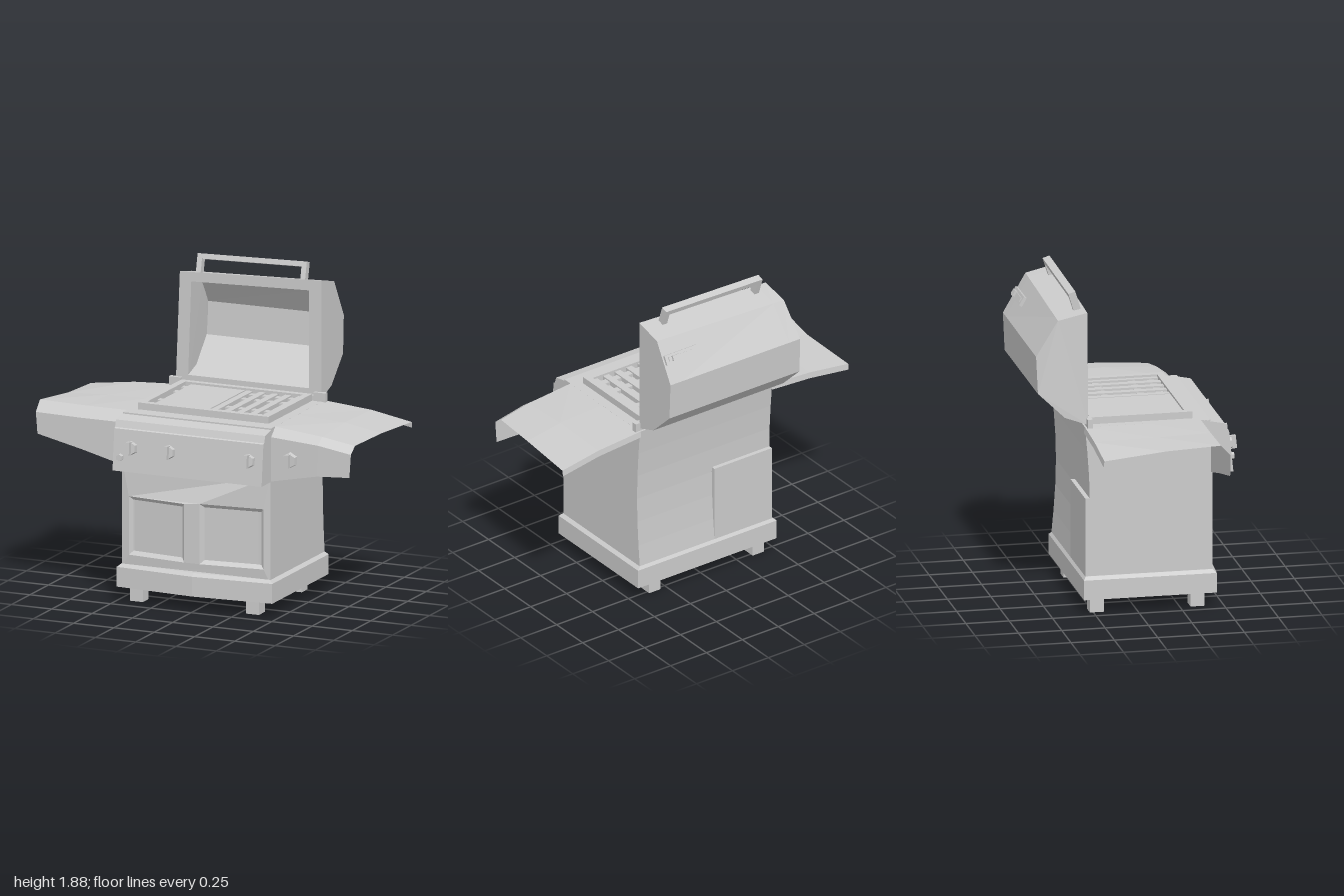
import * as THREE from 'three';

const mat = new THREE.MeshStandardMaterial({ color: 0xcccccc, flatShading: true });
const thinMat = new THREE.MeshStandardMaterial({ color: 0xcccccc, flatShading: true, side: THREE.DoubleSide });

export function createModel() {
  const model = new THREE.Group();

  const add = (name, geo, parent = model, material = mat) => {
    const mesh = new THREE.Mesh(geo, material);
    mesh.name = name;
    parent.add(mesh);
    return mesh;
  };
  const group = (name, parent = model) => {
    const g = new THREE.Group();
    g.name = name;
    parent.add(g);
    return g;
  };
  // Box given by its limits on each axis
  const box = (x0, x1, y0, y1, z0, z1, sy = 1) =>
    new THREE.BoxGeometry(x1 - x0, y1 - y0, z1 - z0, 1, sy, 1)
      .translate((x0 + x1) / 2, (y0 + y1) / 2, (z0 + z1) / 2);
  // Side profile of [z, y] points, extruded from x0 to x1
  const along = (pts, x0, x1) =>
    new THREE.ExtrudeGeometry(new THREE.Shape(pts.map(([z, y]) => new THREE.Vector2(-z, y))),
      { depth: x1 - x0, bevelEnabled: false }).rotateY(Math.PI / 2).translate(x0, 0, 0);
  // Move every vertex by a rule
  const warp = (geo, rule) => {
    const p = geo.attributes.position, v = new THREE.Vector3();
    for (let i = 0; i < p.count; i++) {
      v.fromBufferAttribute(p, i);
      rule(v);
      p.setXYZ(i, v.x, v.y, v.z);
    }
    geo.computeVertexNormals();
    return geo;
  };
  const meshFrom = (verts, index) => {
    const geo = new THREE.BufferGeometry();
    geo.setAttribute('position', new THREE.Float32BufferAttribute(verts.flat(), 3));
    geo.setIndex(index);
    geo.computeVertexNormals();
    return geo;
  };

  // Feet
  for (const x of [-0.39, 0.33])
    for (const z of [-0.23, 0.35]) add('foot', box(x - 0.04, x + 0.04, 0, 0.1, z - 0.04, z + 0.04));

  // Plinth with a bowed front and sloped top edge
  const plan = new THREE.Shape([[-0.485, -0.45], [0, -0.485], [0.48, -0.45], [0.48, 0.315], [-0.485, 0.315]]
    .map(([x, y]) => new THREE.Vector2(x, y)));
  const slab = (y, h) => new THREE.ExtrudeGeometry(plan, { depth: h, bevelEnabled: false })
    .rotateX(-Math.PI / 2).translate(0, y, 0);
  add('plinth', slab(0.09, 0.115));
  add('plinthEdge', warp(slab(0.205, 0.018), (v) => {
    if (v.y > 0.21) { v.x *= 0.955; v.z *= 0.96; }
  }));

  // Cabinet with a slightly hollow back, and its raised back panel
  add('cabinet', warp(box(-0.46, 0.46, 0.2, 1.1, -0.305, 0.42, 6), (v) => {
    if (v.z < 0) v.z += 0.028 * Math.sin(Math.PI * (v.y - 0.2) / 0.9);
  }));
  add('backPanel', box(-0.46, -0.06, 0.2, 0.68, -0.303, -0.2));

  // Bowed door front with two sunken, bevelled panels
  const bow = (v) => { v.z -= 0.045 * (v.x / 0.46) ** 2; };
  const front = new THREE.Shape([[-0.46, 0.2], [0, 0.2], [0.46, 0.2], [0.46, 0.82], [0, 0.82], [-0.46, 0.82]]
    .map(([x, y]) => new THREE.Vector2(x, y)));
  const doors = group('doors');
  for (const [x0, x1, y0, y1] of [[-0.415, -0.055, 0.28, 0.62], [0.04, 0.42, 0.28, 0.63]]) {
    front.holes.push(new THREE.Path([[x0, y0], [x0, y1], [x1, y1], [x1, y0]].map(([x, y]) => new THREE.Vector2(x, y))));
    const rect = (d, z) => [[x0 + d, y0 + d, z], [x1 - d, y0 + d, z], [x1 - d, y1 - d, z], [x0 + d, y1 - d, z]];
    const index = [4, 5, 6, 4, 6, 7];
    for (let i = 0; i < 4; i++) {
      const j = (i + 1) % 4;
      index.push(i, j, 4 + j, i, 4 + j, 4 + i);
    }
    add('doorPanel', warp(meshFrom([...rect(0, 0.475), ...rect(0.022, 0.452)], index), bow), doors, thinMat);
  }
  add('doorFrame', warp(new THREE.ExtrudeGeometry(front, { depth: 0.045, bevelEnabled: false })
    .translate(0, 0, 0.43), bow), doors);
  add('doorPull', box(-0.1, 0.11, 0.78, 0.795, 0.45, 0.5), doors);

  // Control panel
  add('controlPanel', along([[0.38, 0.79], [0.55, 0.79], [0.525, 1.03], [0.515, 1.035], [0.5, 1.075], [0.38, 1.1]], -0.465, 0.46));

  // Hexagonal knobs with a grip bar
  const knob = (x, y, z, r) => {
    const g = group('knob');
    add('knobBody', new THREE.CylinderGeometry(r, r * 1.1, 0.03, 6).rotateX(Math.PI / 2), g);
    if (r > 0.03) add('knobGrip', box(-0.01, 0.01, -0.038, 0.038, 0, 0.042), g);
    g.position.set(x, y, z);
    return g;
  };
  for (const x of [-0.355, -0.12, 0.375]) knob(x, 0.93, 0.547, 0.038).rotation.x = -0.1;
  knob(-0.42, 0.87, 0.547, 0.02);
  knob(0.58, 0.93, 0.432, 0.042);

  // Side shelves: cross-sections from the back lip over the top to the apron's lower edge
  const shelf = (name, stations) => {
    const verts = [], index = [], n = 6;
    // xs and ys: back, middle, front; chamfer and bottom: apron heights
    for (const { xs, ys, chamfer, bottom, z = 0.42 } of stations)
      verts.push([xs[0], ys[0] - 0.035, -0.31], [xs[0], ys[0], -0.305], [xs[1], ys[1], 0.06],
        [xs[2], ys[2], z - 0.055], [xs[2], chamfer, z], [xs[2] * 0.99, bottom, z]);
    for (let i = 0; i < stations.length - 1; i++)
      for (let j = 0; j < n - 1; j++) {
        const a = i * n + j, c = a + n;
        index.push(a, a + 1, c, a + 1, c + 1, c);
      }
    add(name, meshFrom(verts, index), model, thinMat);
  };
  shelf('leftShelf', [
    { xs: [0.455, 0.455, 0.455], ys: [1.1, 1.1, 1.1], chamfer: 1.05, bottom: 0.79 },
    { xs: [0.75, 0.75, 0.75], ys: [1.075, 1.085, 1.07], chamfer: 1.03, bottom: 0.85 },
    { xs: [1, 0.98, 0.95], ys: [1.03, 1.045, 1.035], chamfer: 0.995, bottom: 0.86, z: 0.41 },
  ]);
  shelf('rightShelf', [
    { xs: [-0.99, -0.965, -1], ys: [1.05, 1.08, 1.105], chamfer: 1.045, bottom: 0.92 },
    { xs: [-0.72, -0.72, -0.72], ys: [1.085, 1.092, 1.1], chamfer: 1.04, bottom: 0.857 },
    { xs: [-0.455, -0.455, -0.455], ys: [1.1, 1.1, 1.1], chamfer: 1.04, bottom: 0.79 },
  ]);

  // Cooking surface: rim, solid plate, long bars over cross bars
  const cooktop = group('cooktop');
  add('rimLeft', box(0.36, 0.4, 1.09, 1.14, -0.265, 0.325), cooktop);
  add('rimRight', box(-0.41, -0.37, 1.09, 1.14, -0.265, 0.325), cooktop);
  add('rimFront', box(-0.37, 0.36, 1.09, 1.14, 0.285, 0.325), cooktop);
  add('rimBack', box(-0.37, 0.36, 1.09, 1.14, -0.265, -0.228), cooktop);
  add('griddlePlate', box(-0.335, 0, 1.09, 1.128, -0.228, 0.285), cooktop);
  for (let i = 0; i < 5; i++) {
    const x = 0.01 + i * 0.08;
    add('grateBar', box(x, Math.min(x + 0.04, 0.36), 1.1, 1.128, -0.228, 0.285), cooktop);
  }
  for (const z of [-0.19, -0.08, 0.13, 0.24]) add('crossBar', box(-0.37, 0.36, 1.098, 1.12, z - 0.02, z + 0.02), cooktop);

  // Open lid: two solid ends and a hollow shell between, with one upper corner pulled in
  const lid = group('lid');
  const skew = (v) => {
    const t = THREE.MathUtils.clamp((v.y - 1.5) / 0.29, 0, 1), s = (0.45 - v.x) / 0.9;
    v.y += t * (0.008 - 0.036 * s);
    v.x += 0.025 * t * s;
  };
  const outer = [[-0.285, 1.11], [-0.42, 1.16], [-0.575, 1.31], [-0.585, 1.53], [-0.455, 1.75], [-0.285, 1.79]];
  const inner = [[-0.285, 1.73], [-0.43, 1.7], [-0.545, 1.54], [-0.535, 1.345], [-0.4, 1.2], [-0.285, 1.165]];
  add('lidShell', warp(along([...outer, ...inner], -0.38, 0.37), skew), lid);
  add('lidEndRight', warp(along(outer, -0.455, -0.38), skew), lid);
  add('lidEndLeft', warp(along(outer, 0.37, 0.45), skew), lid);

  // Lid handle, leaning back
  const handle = group('lidHandle', lid);
  add('handleBar', box(-0.34, 0.335, 0.06, 0.09, -0.021, 0.021), handle);
  for (const x of [-0.34, 0.305]) add('handlePost', box(x, x + 0.03, -0.03, 0.07, -0.021, 0.021), handle);
  handle.position.set(0, 1.783, -0.332);
  handle.rotation.set(-0.3, 0, 0.03);

  // Temperature gauge on the sloping back of the lid
  const gauge = group('gauge', lid);
  add('gaugePlate', box(0.215, 0.44, -0.028, 0.028, -0.02, 0.012), gauge);
  add('gaugeStrip', box(0.235, 0.42, -0.012, 0.012, 0.01, 0.018), gauge);
  add('gaugeKnob', box(0.35, 0.4, -0.015, 0.015, 0.01, 0.03), gauge);
  gauge.position.set(0, 1.655, -0.517);
  gauge.rotation.x = -Math.PI + 0.53;

  // Hinges
  for (const x of [-0.452, 0.445]) add('hinge', box(x - 0.037, x + 0.037, 1.09, 1.15, -0.295, -0.265));
  add('hingeRod', box(-0.43, 0.43, 1.1, 1.13, -0.295, -0.27));

  return model;
}
